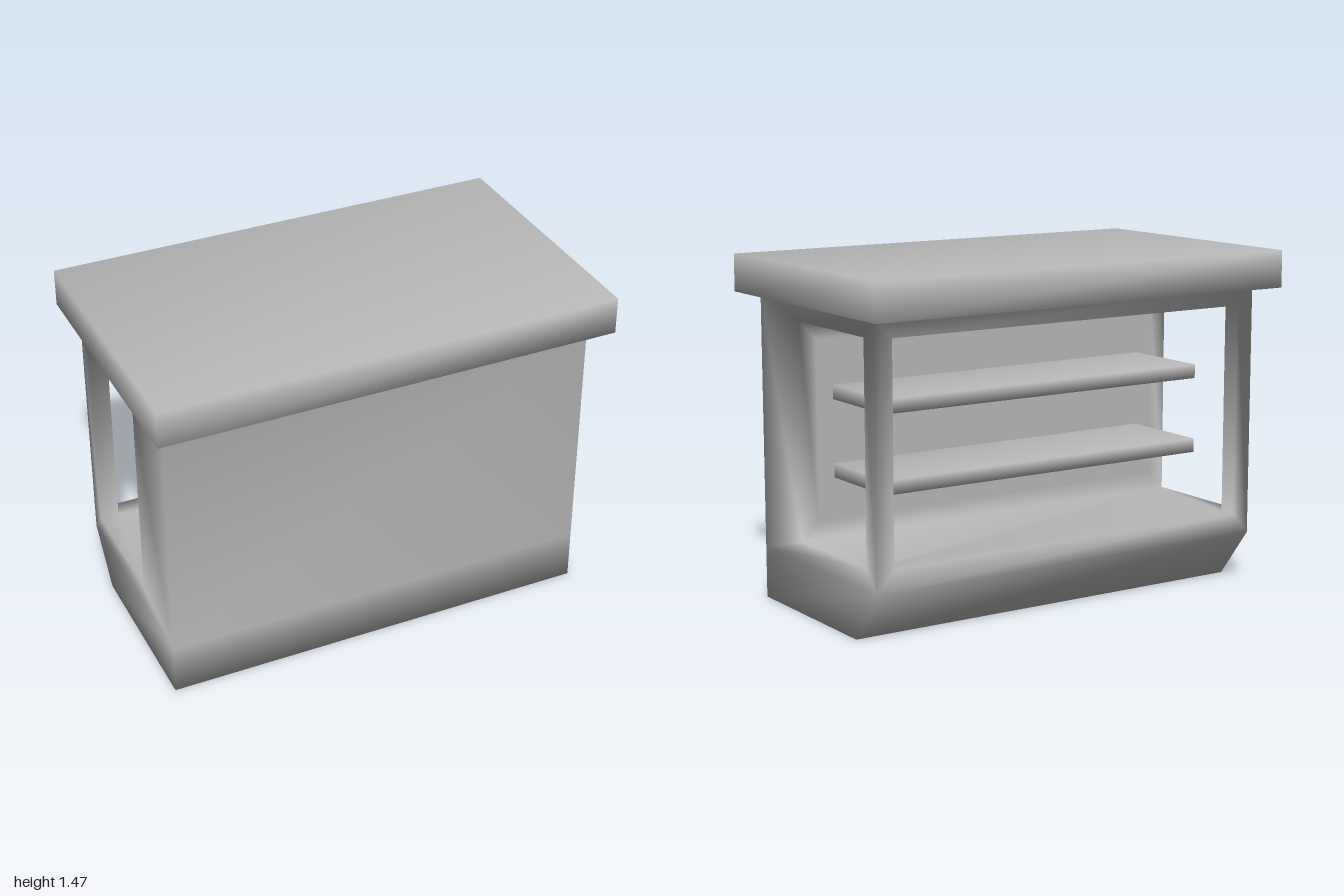
import * as THREE from 'three';
import { mergeVertices } from 'three/addons/utils/BufferGeometryUtils.js';

// Collects flat polygons, each facing the given direction, and welds them into one smooth shell
function shell() {
  const pos = [];
  const add = (facing, ...pts) => {
    const v = pts.map((p) => new THREE.Vector3(...p));
    const normal = new THREE.Vector3();
    for (let i = 1; i < v.length - 1; i++) {
      normal.add(v[i].clone().sub(v[0]).cross(v[i + 1].clone().sub(v[0])));
    }
    if (normal.dot(new THREE.Vector3(...facing)) < 0) v.reverse();
    for (let i = 1; i < v.length - 1; i++) {
      for (const p of [v[0], v[i], v[i + 1]]) pos.push(p.x, p.y, p.z);
    }
  };
  const build = () => {
    let geo = new THREE.BufferGeometry();
    geo.setAttribute('position', new THREE.Float32BufferAttribute(pos, 3));
    geo = mergeVertices(geo, 1e-4);
    geo.computeVertexNormals();
    return geo;
  };
  return { add, build };
}

// Joins an outer loop to an inner loop of the same length
function ring(s, facing, outer, inner) {
  outer.forEach((p, i) => {
    const j = (i + 1) % outer.length;
    s.add(facing, p, outer[j], inner[j], inner[i]);
  });
}

const rectXY = (x, y0, y1, z) => [[-x, y0, z], [x, y0, z], [x, y1, z], [-x, y1, z]];
const rectYZ = (x, y0, y1, z0, z1) => [[x, y0, z0], [x, y0, z1], [x, y1, z1], [x, y1, z0]];
const rectXZ = (x, y, z0, z1) => [[-x, y, z0], [x, y, z0], [x, y, z1], [-x, y, z1]];

function bodyGeometry() {
  const s = shell();
  const W = 0.94, I = 0.86, F = 0.47, P = 0.14, J = -0.39, B = -0.47, K = -0.3;
  const Y1 = 0.22, SILL = 0.31, HEAD = 1.23, TOP = 1.31, ROOF = 1.47, RX = 1, RZ = 0.59;

  // Base, front panel and sloped toe at the back
  s.add([0, -1, 0], ...rectXZ(W, 0, K, F));
  s.add([0, 0, 1], ...rectXY(W, 0, Y1, F));
  s.add([0, 0, 1], ...rectXY(W, Y1, TOP, F));
  s.add([0, -1, -1], [-W, 0, K], [W, 0, K], [W, Y1, B], [-W, Y1, B]);

  // Back frame around the opening
  ring(s, [0, 0, -1], rectXY(W, Y1, TOP, B), rectXY(I, SILL, HEAD, B));

  // Sides, with the frames and inner faces of the rear posts
  for (const m of [-1, 1]) {
    const w = m * W, i = m * I;
    s.add([m, 0, 0], [w, 0, F], [w, 0, K], [w, Y1, B], [w, Y1, F]);
    ring(s, [m, 0, 0], rectYZ(w, Y1, TOP, B, F), rectYZ(w, SILL, HEAD, J, P));
    s.add([0, 0, 1], [w, SILL, J], [i, SILL, J], [i, HEAD, J], [w, HEAD, J]);
    s.add([-m, 0, 0], ...rectYZ(i, SILL, HEAD, B, J));
  }

  // Counter floor and ceiling
  for (const [y, up] of [[SILL, 1], [HEAD, -1]]) {
    s.add([0, up, 0], [-W, y, P], [W, y, P], [W, y, J], [I, y, J], [-I, y, J], [-W, y, J]);
    s.add([0, up, 0], ...rectXZ(I, y, B, J));
  }

  // Inner face of the front panel
  const innerFace = rectXY(I, SILL + 0.08, HEAD - 0.08, P);
  ring(s, [0, 0, -1], rectXY(W, SILL, HEAD, P), innerFace);
  s.add([0, 0, -1], ...innerFace);

  // Overhanging roof slab
  ring(s, [0, -1, 0], rectXZ(RX, TOP, -RZ, RZ), rectXZ(W, TOP, B, F));
  for (const m of [-1, 1]) {
    s.add([0, 0, m], ...rectXY(RX, TOP, ROOF, m * RZ));
    s.add([m, 0, 0], ...rectYZ(m * RX, TOP, ROOF, -RZ, RZ));
  }
  s.add([0, 1, 0], ...rectXZ(RX, ROOF, -RZ, RZ));
  return s.build();
}

// Box with shared corners, so it shades softly
function softBox(w, h, d) {
  let geo = new THREE.BoxGeometry(w, h, d);
  geo.deleteAttribute('normal');
  geo.deleteAttribute('uv');
  geo = mergeVertices(geo);
  geo.computeVertexNormals();
  return geo;
}

export function createModel() {
  const group = new THREE.Group();
  group.name = 'kiosk';
  const grey = new THREE.MeshStandardMaterial({ color: 0xb8b8b8 });
  grey.name = 'plain grey';

  const body = new THREE.Mesh(bodyGeometry(), grey);
  body.name = 'kioskBody';
  group.add(body);

  // Two shelves fixed to the front panel
  const shelfGeo = softBox(1.57, 0.06, 0.44);
  [['lowerShelf', 0.595], ['upperShelf', 0.925]].forEach(([name, y]) => {
    const shelf = new THREE.Mesh(shelfGeo, grey);
    shelf.name = name;
    shelf.position.set(0, y, -0.06);
    group.add(shelf);
  });
  return group;
}
